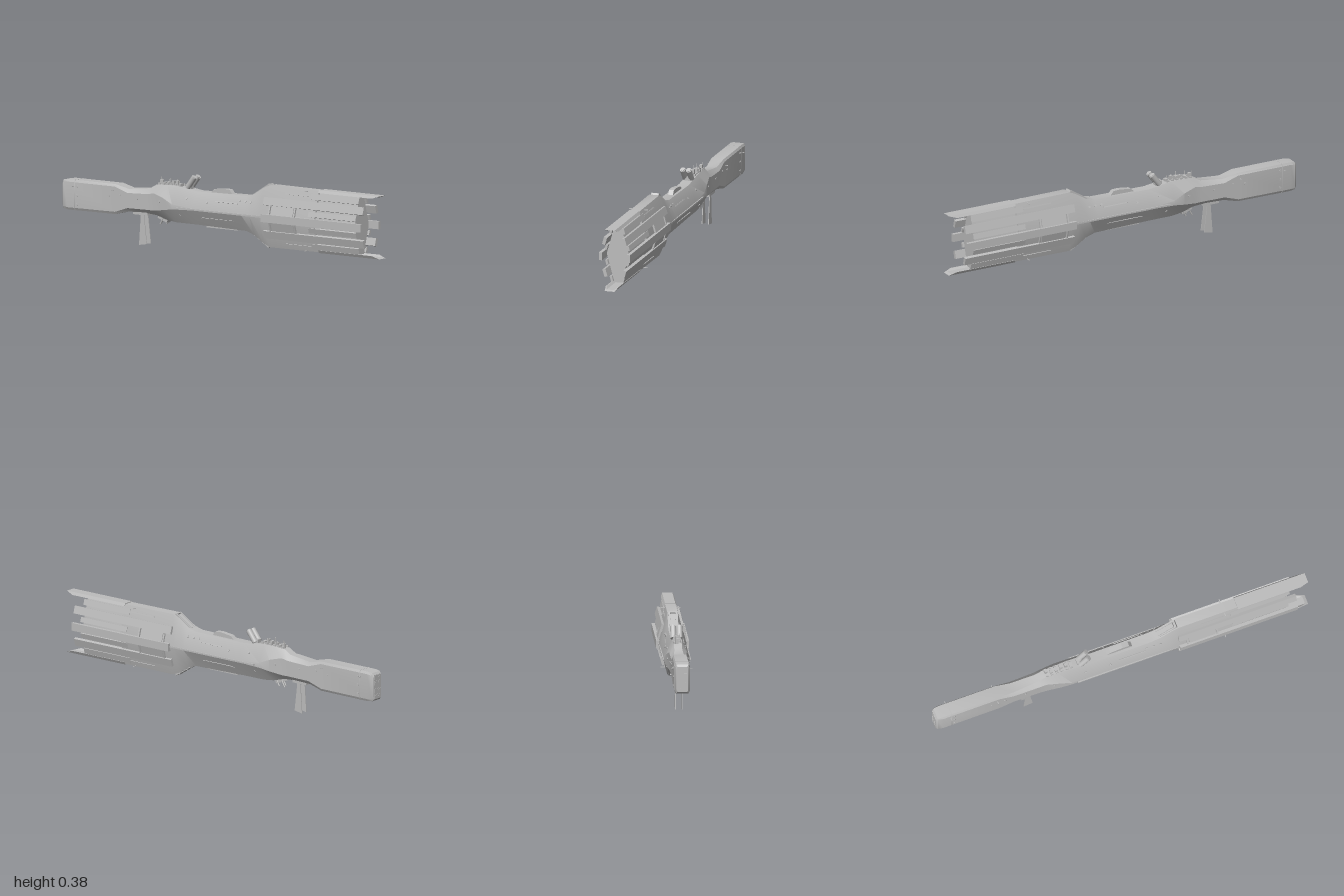
import * as THREE from 'three';
import { toCreasedNormals } from 'three/addons/utils/BufferGeometryUtils.js';

// Hull stations: z, top, bottom, half-width of top/bottom, half-width of side, side upper y, side lower y
const HULL = [
  [0.62, 0.376, 0.065, 0.026, 0.07, 0.225, 0.215],
  [0.31, 0.378, 0.064, 0.026, 0.07, 0.225, 0.215],
  [0.27, 0.362, 0.08, 0.026, 0.069, 0.225, 0.215],
  [0.21, 0.325, 0.118, 0.026, 0.067, 0.225, 0.215],
  [0.16, 0.312, 0.134, 0.026, 0.066, 0.225, 0.215],
  [-0.15, 0.308, 0.14, 0.026, 0.065, 0.225, 0.215],
  [-0.28, 0.325, 0.14, 0.025, 0.064, 0.235, 0.21],
  [-0.34, 0.324, 0.146, 0.022, 0.056, 0.26, 0.2],
  [-0.41, 0.32, 0.165, 0.02, 0.044, 0.278, 0.19],
  [-0.45, 0.298, 0.168, 0.02, 0.042, 0.27, 0.19],
  [-0.58, 0.284, 0.17, 0.026, 0.04, 0.265, 0.188],
  [-0.66, 0.302, 0.15, 0.032, 0.038, 0.29, 0.162],
  [-0.96, 0.302, 0.148, 0.032, 0.038, 0.29, 0.16],
  [-0.988, 0.298, 0.152, 0.03, 0.035, 0.286, 0.164],
  [-0.997, 0.288, 0.162, 0.025, 0.029, 0.276, 0.174],
];
const CORE = [
  [0.87, 0.364, 0.073, 0.018, 0.058, 0.225, 0.215],
  [0.6, 0.364, 0.073, 0.018, 0.058, 0.225, 0.215],
];

// Skin an eight-sided tube through the stations and cap both ends
function loft(rows) {
  const pos = [], idx = [], n = 8, last = (rows.length - 1) * n;
  for (const [z, t, b, w, m, hi, lo] of rows) {
    const ring = [[w, t], [-w, t], [-m, hi], [-m, lo], [-w, b], [w, b], [m, lo], [m, hi]];
    for (const [x, y] of ring) pos.push(x, y, z);
  }
  for (let i = 0; i < rows.length - 1; i++) {
    for (let j = 0; j < n; j++) {
      const a = i * n + j, b = i * n + (j + 1) % n;
      idx.push(a, a + n, b, b, a + n, b + n);
    }
  }
  for (let j = 1; j < n - 1; j++) idx.push(0, j, j + 1, last, last + j + 1, last + j);
  const g = new THREE.BufferGeometry();
  g.setAttribute('position', new THREE.Float32BufferAttribute(pos, 3));
  g.setIndex(idx);
  return toCreasedNormals(g, 0.45);
}

// Hull section interpolated at any z
function section(z) {
  let i = 0;
  while (i < HULL.length - 2 && HULL[i + 1][0] > z) i++;
  const a = HULL[i], b = HULL[i + 1], k = (a[0] - z) / (a[0] - b[0]);
  return a.map((v, j) => v + (b[j] - v) * k);
}

// Side surface at (z, y): x position and lean of the face
function side(z, y) {
  const [, t, b, w, m, hi, lo] = section(z);
  if (y > hi) return { x: m + (w - m) * (y - hi) / (t - hi), lean: Math.atan2(m - w, t - hi) };
  if (y < lo) return { x: m + (w - m) * (lo - y) / (lo - b), lean: -Math.atan2(m - w, lo - b) };
  return { x: m, lean: 0 };
}

export function createModel() {
  const model = new THREE.Group();
  const grey = new THREE.MeshStandardMaterial({ color: 0xbcbcbc });
  const add = (name, geo, x = 0, y = 0, z = 0, rx = 0, ry = 0, rz = 0) => {
    const mesh = new THREE.Mesh(geo, grey);
    mesh.name = name;
    mesh.position.set(x, y, z);
    mesh.rotation.set(rx, ry, rz);
    model.add(mesh);
    return mesh;
  };
  const box = (name, w, h, d, ...at) => add(name, new THREE.BoxGeometry(w, h, d), ...at);
  // Mirrored box lying on the hull side; d runs along z
  const sideBox = (name, y, z, w, h, d, out = 0) => {
    const { x, lean } = side(z, y);
    for (const s of [1, -1]) box(name, w, h, d, s * (x + out), y, z, 0, 0, s * lean);
  };

  add('hull', loft(HULL));
  add('forwardCore', loft(CORE));

  // Long slats wrapped around the forward core
  for (const y of [0.3, 0.217, 0.133]) sideBox('longSlat', y, 0.61, 0.017, 0.04, 0.64 - 0.01, 0.004);
  for (const [y, h] of [[0.343, 0.03], [0.257, 0.026], [0.176, 0.026], [0.092, 0.03]]) {
    const { x, lean } = side(0.6, y);
    for (const s of [1, -1]) box('shortSlat', 0.012, h, 0.3, s * (x - 0.003), y, 0.73, 0, 0, s * lean);
  }

  // Top and bottom bow blades, a shallow channel in section
  for (const s of [1, -1]) {
    const shape = new THREE.Shape();
    [[-0.026, 0], [-0.034, -0.014], [-0.03, -0.014], [-0.02, -0.005], [0.02, -0.005],
      [0.03, -0.014], [0.034, -0.014], [0.026, 0]].forEach(([x, y], i) => {
      if (i) shape.lineTo(x, y); else shape.moveTo(x, y);
    });
    const g = new THREE.ExtrudeGeometry(shape, { depth: 0.38, bevelEnabled: false });
    // Rake the drooping edges of the tip backwards
    const p = g.attributes.position;
    for (let i = 0; i < p.count; i++) if (p.getZ(i) > 0.3) p.setZ(i, 0.38 + p.getY(i) * 3);
    g.computeVertexNormals();
    add(s > 0 ? 'topBlade' : 'bottomBlade', g, 0, s > 0 ? 0.38 : 0.061, 0.62, 0, 0, s > 0 ? 0 : Math.PI);
  }

  // Framed armour panels on the bow flanks
  for (const y of [0.263, 0.177]) {
    sideBox('flankPanel', y, 0.417, 0.008, 0.07, 0.14, 0.002);
    for (const z of [0.338, 0.496]) sideBox('flankFrame', y, z, 0.014, 0.086, 0.008, 0.002);
  }
  for (const y of [0.303, 0.137]) sideBox('flankFrame', y, 0.417, 0.014, 0.008, 0.166, 0.002);

  // Side ridge strips and thin plating lines
  sideBox('sideRidge', 0.22, 0.05, 0.01, 0.008, 0.6);
  sideBox('plateLine', 0.18, 0.0, 0.006, 0.005, 0.2);
  sideBox('plateLine', 0.27, 0.05, 0.006, 0.005, 0.14);
  sideBox('plateLine', 0.345, 0.5, 0.008, 0.006, 0.16);
  sideBox('plateLine', 0.09, 0.5, 0.008, 0.006, 0.16);

  // Portholes
  const port = new THREE.CylinderGeometry(0.006, 0.006, 0.006, 8);
  const ports = [[0.2, 0.285], [0.165, 0.285], [0.13, 0.285], [-0.07, 0.26], [-0.2, 0.27],
    [-0.1, 0.175], [-0.24, 0.18], [-0.37, 0.24], [-0.52, 0.24], [-0.63, 0.25], [-0.7, 0.24],
    [-0.9, 0.27], [-0.9, 0.225], [-0.9, 0.18]];
  for (const [z, y] of ports) {
    const { x, lean } = side(z, y);
    for (const s of [1, -1]) add('porthole', port, s * x, y, z, 0, 0, Math.PI / 2 + s * lean);
  }

  // Framed hatches on the top and bottom shoulders
  for (const s of [1, -1]) {
    const mid = section(0.24)[s > 0 ? 1 : 2];
    const hatch = new THREE.Group();
    hatch.name = s > 0 ? 'topHatch' : 'bottomHatch';
    hatch.position.set(0, mid, 0.245);
    hatch.rotation.x = -s * 0.56;
    for (const [w, d, x, z] of [[0.006, 0.13, 0.017, 0], [0.006, 0.13, -0.017, 0],
      [0.04, 0.006, 0, 0.062], [0.04, 0.006, 0, -0.062], [0.022, 0.1, 0, 0]]) {
      const bar = new THREE.Mesh(new THREE.BoxGeometry(w, 0.014, d), grey);
      bar.name = 'hatchFrame';
      bar.position.set(x, 0, z);
      hatch.add(bar);
    }
    model.add(hatch);
  }

  // Dorsal hump
  const hump = new THREE.Shape();
  [[-0.075, 0], [-0.055, 0.018], [0.01, 0.026], [0.045, 0.024], [0.065, 0]].forEach(([x, y], i) => {
    if (i) hump.lineTo(x, y); else hump.moveTo(x, y);
  });
  add('dorsalHump', new THREE.ExtrudeGeometry(hump, { depth: 0.026, bevelEnabled: false }),
    0.013, 0.307, 0, 0, -Math.PI / 2);
  // Belly rail
  box('bellyRail', 0.03, 0.012, 0.2, 0, 0.135, 0.0);

  // Twin launcher tubes tilted forwards
  for (const x of [0.016, -0.016]) {
    add('launcherTube', new THREE.CylinderGeometry(0.0145, 0.0145, 0.07, 16), x, 0.349, -0.195, 0.65);
    add('launcherRim', new THREE.CylinderGeometry(0.011, 0.011, 0.006, 16), x, 0.377, -0.174, 0.65);
  }
  box('launcherMount', 0.03, 0.03, 0.035, 0, 0.322, -0.215);

  // Deck machinery and aerials
  for (let i = 0; i < 6; i++) {
    const z = -0.265 - i * 0.026, h = 0.012 + (i * 7 % 4) * 0.004, y = section(z)[1];
    box('deckMachine', 0.022 - (i % 2) * 0.008, h * 2, 0.015, (i % 3 - 1) * 0.005, y, z);
    for (const s of [1, -1]) box('deckRail', 0.005, 0.018, 0.014, s * 0.018, y, z);
    box('deckAerial', 0.003, 0.02 + (i % 3) * 0.012, 0.003, i % 2 ? 0.012 : -0.012, y + 0.014, z - 0.008);
  }

  // Belly machinery
  box('bellyPod', 0.03, 0.02, 0.06, 0, 0.15, -0.375, 0.35);
  for (const [z, s] of [[-0.36, 1], [-0.38, -1], [-0.395, 1]]) {
    add('bellyGun', new THREE.CylinderGeometry(0.004, 0.004, 0.045, 8), s * 0.014, 0.14, z, 0.5);
  }
  box('keelMount', 0.05, 0.014, 0.09, 0, 0.165, -0.51);

  // Hanging twin fins, wider at the tip
  const fin = new THREE.Shape();
  fin.moveTo(0.493, 0.168);
  fin.lineTo(0.51, 0.168);
  fin.lineTo(0.522, 0.004);
  fin.lineTo(0.474, 0.012);
  fin.closePath();
  for (const x of [0.017, -0.017]) {
    add('hangingFin', new THREE.ExtrudeGeometry(fin, { depth: 0.004, bevelEnabled: false }),
      x + 0.002, 0, 0, 0, Math.PI / 2).rotation.y = Math.PI / 2;
    model.children.at(-1).position.x = x - 0.002;
  }

  // Small side aerials
  for (const [y, z, x] of [[0.368, 0.55, 0.038], [0.067, 0.55, 0.038], [0.27, -0.92, 0.042], [0.27, -0.67, 0.042]]) {
    for (const s of [1, -1]) box('sideAerial', 0.024, 0.003, 0.004, s * x, y, z);
  }

  // Stern seam collar and engine nozzles
  add('sternSeam', loft([-0.912, -0.916].map(z => {
    const [, t, b, w, m, hi, lo] = section(z);
    return [z, t + 0.001, b - 0.001, w + 0.001, m + 0.001, hi, lo];
  })));
  for (const y of [0.175, 0.205, 0.245, 0.275]) {
    box('enginePlate', 0.046, 0.022, 0.004, 0, y, -0.997);
    for (const x of [0.013, -0.013]) {
      add('engineNozzle', new THREE.CylinderGeometry(0.006, 0.006, 0.008, 10), x, y, -0.996, Math.PI / 2);
    }
  }
  return model;
}
